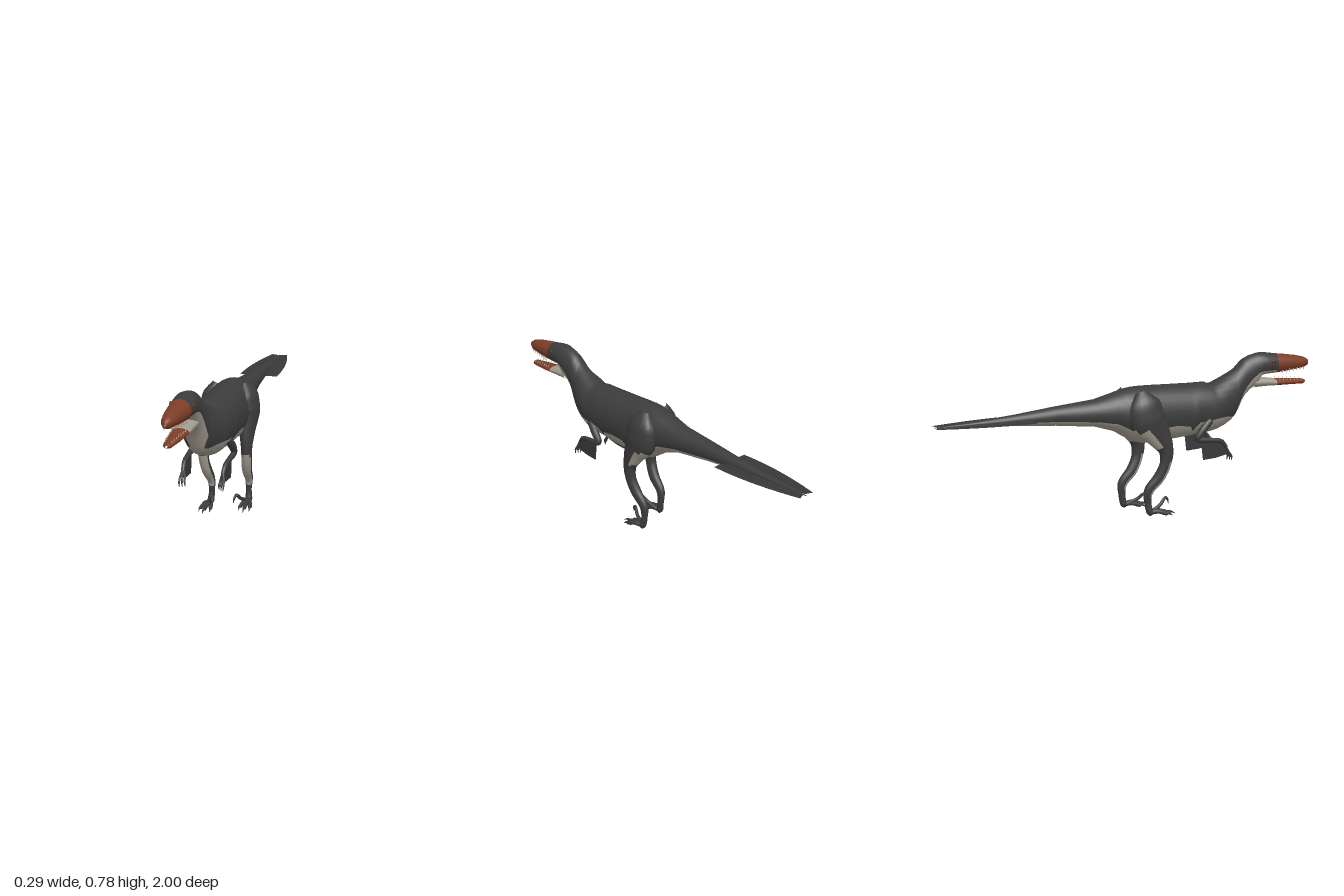
import * as THREE from 'three';

const mat = (name, color) => Object.assign(new THREE.MeshStandardMaterial({ color }), { name });

// Skins a list of closed rings; pick(i, j, ringPoint) gives the material index of each face
function loft(name, rings, materials, pick) {
  const n = rings[0].length;
  const lists = materials.map(() => []);
  for (let i = 0; i < rings.length - 1; i++) {
    for (let j = 0; j < n; j++) {
      const k = (j + 1) % n;
      const a = i * n + j, b = i * n + k, c = a + n, d = b + n;
      lists[pick(i, j, rings[i][j])].push(a, c, b, c, d, b);
    }
  }
  const geo = new THREE.BufferGeometry().setFromPoints(rings.flat());
  geo.setIndex(lists.flat());
  let start = 0;
  lists.forEach((list, m) => {
    if (list.length) geo.addGroup(start, list.length, m);
    start += list.length;
  });
  geo.computeVertexNormals();
  const mesh = new THREE.Mesh(geo, materials);
  mesh.name = name;
  return mesh;
}

// Ring in the xy plane whose first LOWER points lie below the height 'line'
const LOWER = 12, UPPER = 20;
function bodyRing([z, top, bottom, w, line]) {
  const cy = (top + bottom) / 2, h = (top - bottom) / 2;
  const b = Math.asin(THREE.MathUtils.clamp((line - cy) / h, -0.97, 0.97));
  const at = (a) => new THREE.Vector3(Math.cos(a) * w, cy + Math.sin(a) * h, z);
  const ring = [];
  for (let j = 0; j < LOWER; j++) ring.push(at(Math.PI - b + (Math.PI + 2 * b) * j / LOWER));
  for (let j = 0; j < UPPER; j++) ring.push(at(b + (Math.PI - 2 * b) * j / UPPER));
  return ring;
}

// Tapered limb through stations [x, y, z, halfWidth, halfDepth]
function limbRings(stations, steps, n = 14) {
  const curve = new THREE.CatmullRomCurve3(stations.map((s) => new THREE.Vector3(s[0], s[1], s[2])), false, 'centripetal');
  const rings = [];
  for (let i = 0; i <= steps; i++) {
    const t = i / steps, f = t * (stations.length - 1);
    const k = Math.min(Math.floor(f), stations.length - 2);
    const size = (q) => THREE.MathUtils.lerp(stations[k][q], stations[k + 1][q], f - k);
    const p = curve.getPoint(t), T = curve.getTangent(t);
    const S = new THREE.Vector3(1, 0, 0).addScaledVector(T, -T.x).normalize();
    const N = S.clone().cross(T);
    const ring = [];
    for (let j = 0; j < n; j++) {
      const a = j / n * Math.PI * 2;
      ring.push(p.clone().addScaledVector(S, Math.cos(a) * size(3)).addScaledVector(N, Math.sin(a) * size(4)));
    }
    rings.push(ring);
  }
  return rings;
}

export function createModel() {
  const model = new THREE.Group();
  model.name = 'featheredDinosaur';
  const dark = mat('darkPlumage', 0x3c3c3c), pale = mat('paleBelly', 0xa09a8e);
  const rust = mat('rustSnout', 0x7c3d28), ivory = mat('ivoryTeeth', 0xb9b2a2);
  const eyeRed = mat('redEye', 0x6e2416), feather = mat('darkFeather', 0x383838);
  feather.side = THREE.DoubleSide;
  const skin = [dark, pale, rust];
  const add = (...o) => model.add(...o);

  // Sections: z, top, bottom, half width, height of the pale edge
  const head = [
    [1, 0.712, 0.704, 0.004, 0.705], [0.995, 0.727, 0.695, 0.014, 0.705], [0.97, 0.741, 0.685, 0.028, 0.7],
    [0.92, 0.753, 0.679, 0.038, 0.69], [0.86, 0.762, 0.673, 0.047, 0.69], [0.8, 0.77, 0.668, 0.053, 0.69],
    [0.75, 0.778, 0.666, 0.056, 0.69], [0.715, 0.781, 0.66, 0.057, 0.69], [0.69, 0.778, 0.612, 0.056, 0.685],
    [0.65, 0.768, 0.59, 0.056, 0.655], [0.62, 0.755, 0.56, 0.057, 0.62], [0.6, 0.738, 0.53, 0.06, 0.59],
  ];
  const torso = [
    [0.575, 0.712, 0.48, 0.067, 0.54], [0.56, 0.702, 0.457, 0.072, 0.47], [0.54, 0.69, 0.438, 0.079, 0.468],
    [0.5, 0.67, 0.415, 0.093, 0.478], [0.45, 0.646, 0.398, 0.105, 0.478], [0.42, 0.64, 0.392, 0.108, 0.475],
    [0.4, 0.65, 0.39, 0.11, 0.47], [0.33, 0.65, 0.384, 0.112, 0.465], [0.3, 0.65, 0.38, 0.112, 0.42],
    [0.28, 0.651, 0.378, 0.112, 0.45], [0.2, 0.653, 0.372, 0.113, 0.46], [0.13, 0.655, 0.367, 0.114, 0.455],
    [0.1, 0.656, 0.366, 0.115, 0.41], [0.05, 0.657, 0.366, 0.114, 0.395], [0, 0.655, 0.378, 0.11, 0.43],
  ];
  const tail = [
    [-0.05, 0.648, 0.408, 0.1, 0.465], [-0.1, 0.634, 0.44, 0.085, 0.49], [-0.2, 0.608, 0.472, 0.065, 0.505],
    [-0.4, 0.59, 0.495, 0.045, 0.522], [-0.6, 0.568, 0.512, 0.03, 0.53], [-0.8, 0.551, 0.525, 0.016, 0.535],
    [-0.95, 0.541, 0.533, 0.006, 0.536], [-1, 0.537, 0.535, 0.002, 0.536],
  ];
  const spine = [...head, ...torso, ...tail];
  add(loft('body', spine.map(bodyRing), skin, (i, j) => (spine[i][0] > 0.81 ? 2 : j < LOWER ? 1 : 0)));

  // Open lower jaw
  const jaw = [
    [0.986, 0.616, 0.606, 0.005, 0.61], [0.97, 0.624, 0.598, 0.02, 0.61], [0.9, 0.63, 0.6, 0.033, 0.615],
    [0.8, 0.638, 0.602, 0.042, 0.62], [0.74, 0.648, 0.603, 0.046, 0.63], [0.67, 0.66, 0.6, 0.045, 0.63],
  ];
  add(loft('lowerJaw', jaw.map(bodyRing), skin, (i) => (jaw[i][0] > 0.81 ? 2 : 1)));

  // Teeth set along the jaw edges
  const toothGeo = new THREE.ConeGeometry(0.0045, 0.022, 6);
  const teeth = new THREE.Group();
  teeth.name = 'teeth';
  for (const side of [1, -1]) {
    for (let i = 0; i < 7; i++) {
      const u = i / 6, z = 0.83 + 0.135 * u;
      const upper = new THREE.Mesh(toothGeo, ivory);
      upper.position.set(side * (0.039 - 0.02 * u), 0.674 + 0.01 * u, z);
      upper.rotation.x = Math.PI;
      const lower = new THREE.Mesh(toothGeo, ivory);
      lower.position.set(side * (0.03 - 0.015 * u), 0.636 - 0.01 * u, z - 0.01);
      lower.scale.setScalar(0.8);
      upper.name = 'upperTooth';
      lower.name = 'lowerTooth';
      teeth.add(upper, lower);
    }
  }
  add(teeth);

  for (const side of [1, -1]) {
    // Eye
    const eye = new THREE.Mesh(new THREE.SphereGeometry(0.01, 14, 10), eyeRed);
    eye.name = 'eye';
    eye.scale.x = 0.5;
    eye.position.set(side * 0.053, 0.737, 0.77);
    add(eye);

    // Leg: the right one steps forward
    const step = side < 0 ? 0.07 : 0;
    const place = (list) => list.map(([x, y, z, w, h = w]) =>
      [side * x, y, z + step * Math.min(1, (0.8 - y) / 0.45), w, h]);
    const leg = limbRings(place([
      [0.065, 0.64, 0, 0.02, 0.03], [0.085, 0.58, 0, 0.047, 0.085], [0.09, 0.5, 0.005, 0.055, 0.1],
      [0.095, 0.42, 0.045, 0.04, 0.066], [0.1, 0.34, 0.075, 0.028, 0.038], [0.1, 0.27, 0.072, 0.025, 0.03],
      [0.093, 0.2, 0.04, 0.025, 0.03], [0.089, 0.135, -0.014, 0.019, 0.026], [0.087, 0.075, -0.018, 0.014, 0.018],
      [0.09, 0.025, -0.008, 0.018, 0.018], [0.09, 0.008, 0, 0.008, 0.01],
    ]), 44, 18);
    add(loft('leg', leg, skin, (i, j, p) => {
      const s = Math.sin((j + 0.5) / 18 * Math.PI * 2);
      const frontOfShin = s < -0.3 && p.y > 0.11 && p.y < 0.3;
      const backOfThigh = s > 0.3 && p.y > 0.36 && p.y < 0.46;
      return frontOfShin || backOfThigh ? 1 : 0;
    }));

    // Three toes and the raised sickle claw
    for (const dx of [-0.022, 0.004, 0.027]) {
      const reach = Math.abs(dx) < 0.01 ? 1 : 0.8;
      const toe = place([[0.09, 0.022, 0, 0.013], [0.09 + dx * 0.6, 0.026, 0.045 * reach, 0.011],
        [0.09 + dx, 0.014, 0.09 * reach, 0.01], [0.09 + dx * 1.1, 0.016, 0.105 * reach, 0.006],
        [0.09 + dx * 1.15, 0.002, 0.13 * reach, 0.001]]);
      add(loft('toe', limbRings(toe, 12, 8), skin, () => 0));
    }
    const sickle = place([[0.084, 0.025, 0.01, 0.011], [0.068, 0.05, 0.06, 0.009],
      [0.053, 0.078, 0.092, 0.008], [0.047, 0.067, 0.108, 0.006], [0.043, 0.042, 0.115, 0.001]]);
    add(loft('sickleClaw', limbRings(sickle, 14, 8), skin, () => 0));

    // Folded arm with three clawed fingers
    const arm = [[0.092, 0.47, 0.39, 0.02], [0.103, 0.425, 0.345, 0.02], [0.105, 0.382, 0.315, 0.015],
      [0.103, 0.37, 0.38, 0.013], [0.1, 0.358, 0.45, 0.011], [0.097, 0.325, 0.48, 0.01]];
    const mirror = (list) => list.map(([x, y, z, r]) => [side * x, y, z, r, r]);
    add(loft('arm', limbRings(mirror(arm), 24, 10), skin, () => 0));
    for (const f of [-1, 0, 1]) {
      const finger = [[0.097, 0.335, 0.475, 0.006], [0.097 + f * 0.01, 0.295, 0.49 + f * 0.005, 0.005],
        [0.096 + f * 0.012, 0.275, 0.502 + f * 0.005, 0.005], [0.095 + f * 0.012, 0.252, 0.502 + f * 0.008, 0.001]];
      add(loft('finger', limbRings(mirror(finger), 9, 6), skin, () => 0));
    }

    // Flat arm feathers hanging from the forearm
    const wing = new THREE.Shape([[0.465, 0.365], [0.335, 0.38], [0.35, 0.268], [0.42, 0.272], [0.485, 0.285]]
      .map(([z, y]) => new THREE.Vector2(-z, y)));
    const wingMesh = new THREE.Mesh(new THREE.ShapeGeometry(wing), feather);
    wingMesh.name = 'armFeathers';
    wingMesh.rotation.y = Math.PI / 2;
    wingMesh.position.x = side * 0.1;
    add(wingMesh);

    // Tail fan half with a raised midrib
    const fan = new THREE.Shape();
    fan.moveTo(0.01, 0.52);
    fan.lineTo(0.1, 0.52);
    fan.bezierCurveTo(0.108, 0.7, 0.075, 0.88, 0.042, 1);
    fan.lineTo(0.004, 0.985);
    const fanMesh = new THREE.Mesh(new THREE.ShapeGeometry(fan, 10), feather);
    fanMesh.name = 'tailFan';
    fanMesh.rotation.x = -Math.PI / 2;
    fanMesh.scale.x = side;
    fanMesh.position.y = 0.538;
    add(fanMesh);
    const rib = [[0.05, 0.539, -0.53, 0.003], [0.045, 0.539, -0.75, 0.003], [0.022, 0.538, -0.985, 0.001]];
    add(loft('tailFeatherRib', limbRings(mirror(rib), 6, 6), skin, () => 0));
  }
  return model;
}
